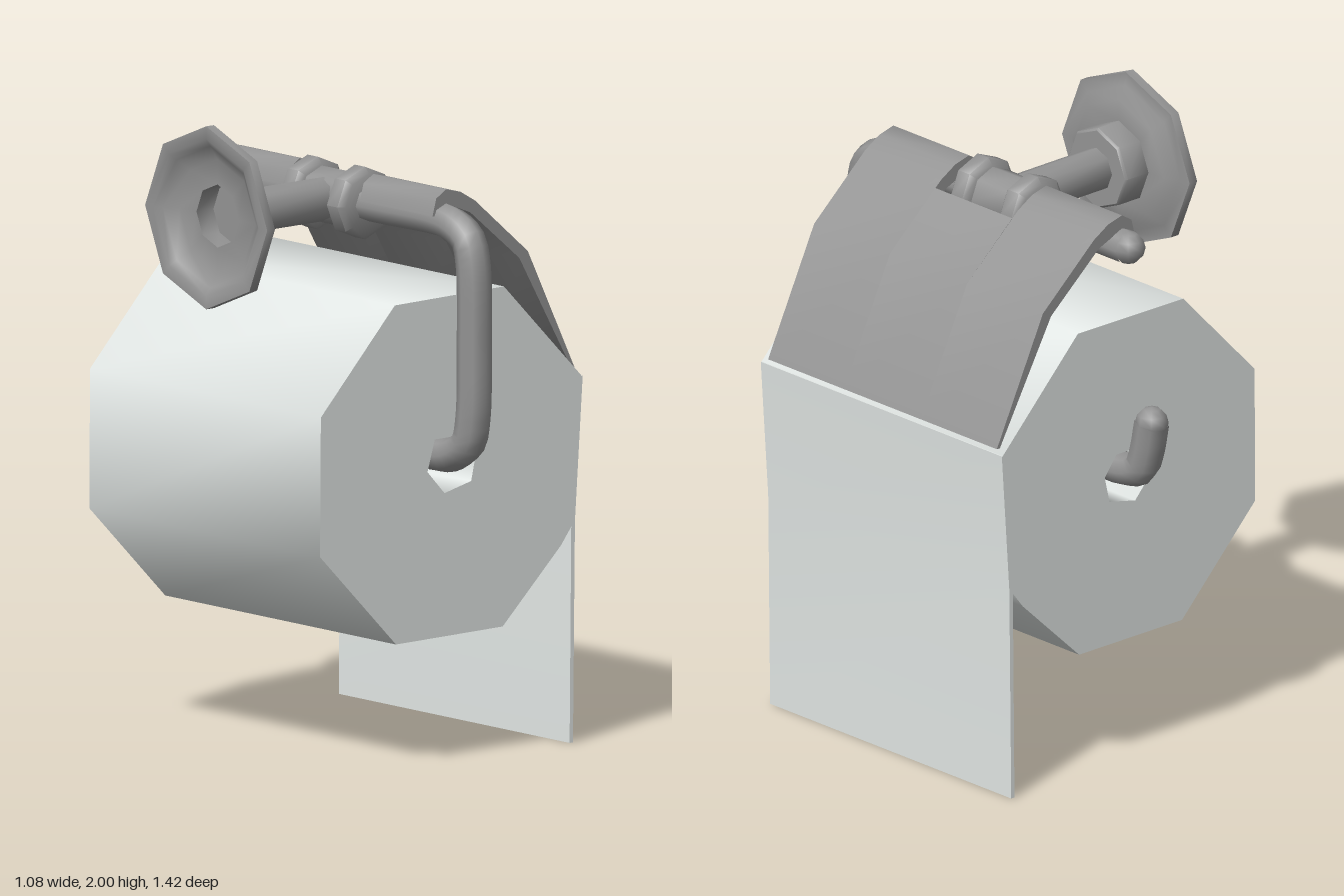
import * as THREE from 'three';
import { toCreasedNormals } from 'three/addons/utils/BufferGeometryUtils.js';

const metal = new THREE.MeshStandardMaterial({ color: 0x949494 });
metal.name = 'brushed metal';
const paper = new THREE.MeshStandardMaterial({ color: 0xe2e7e5 });
paper.name = 'paper';

const BAR_Y = 1.712;
const toPoints = (list) => list.map(([x, y]) => new THREE.Vector2(x, y));

export function createModel() {
  const model = new THREE.Group();
  model.name = 'paperRollHolder';

  const add = (name, geometry, material, parent = model) => {
    const mesh = new THREE.Mesh(geometry, material);
    mesh.name = name;
    parent.add(mesh);
    return mesh;
  };

  // Extrude an x-y outline between two z positions, smooth around and sharp at the ends
  const slab = (outline, z0, z1, hole) => {
    const shape = new THREE.Shape(toPoints(outline));
    if (hole) shape.holes.push(new THREE.Path(toPoints(hole)));
    const g = new THREE.ExtrudeGeometry(shape, { depth: z1 - z0, bevelEnabled: false });
    g.translate(0, 0, z0);
    return toCreasedNormals(g, 1.12);
  };

  // Eight-sided turned part; profile is [radius, height]
  const turned = (profile) =>
    toCreasedNormals(new THREE.LatheGeometry(toPoints(profile), 8), 0.8);

  // Paper roll with open core
  add('paperRoll', slab(
    [[-0.235, 1.475], [-0.54, 1.157], [-0.543, 0.715], [-0.23, 0.4], [0.21, 0.403],
      [0.45, 0.63], [0.505, 0.7], [0.538, 1.155], [0.215, 1.48]],
    -0.548, 0.548,
    [[-0.1, 0.93], [-0.03, 0.855], [0.08, 0.88], [0.1, 0.965], [0.05, 1.03], [-0.07, 1.03]],
  ), paper);

  // Loose sheet hanging from the roll
  add('hangingSheet', slab(
    [[0.524, 1.157], [0.54, 1.157], [0.508, 0.7], [0.5, 0], [0.486, 0], [0.493, 0.7]],
    -0.548, 0.548), paper);

  // Curved cover, in two wings and a middle panel that leaves a notch at the bracket
  const cover = new THREE.Group();
  cover.name = 'cover';
  model.add(cover);
  const lowerOuter = [[0.535, 1.172], [0.338, 1.573]];
  const lowerInner = [[0.303, 1.555], [0.522, 1.172]];
  const wing = [...lowerOuter, [0.12, 1.76], [0.06, 1.795], [0.0, 1.81], [-0.04, 1.785],
    [-0.055, 1.73], [-0.035, 1.73], [0.0, 1.765], [0.1, 1.725], ...lowerInner];
  const panel = [...lowerOuter, [0.145, 1.74], [0.125, 1.707], ...lowerInner];
  add('coverFrontWing', slab(wing, 0.175, 0.52), metal, cover);
  add('coverBackWing', slab(wing, -0.52, -0.175), metal, cover);
  add('coverMiddle', slab(panel, -0.175, 0.175), metal, cover);

  // Bent bar: pivot on top, down the front, through the core, hooked up at the back
  const barPath = [[-0.55, BAR_Y], [-0.2, BAR_Y], [0.2, BAR_Y], [0.5, BAR_Y], [0.565, 1.70],
    [0.625, 1.665], [0.648, 1.6], [0.655, 1.33], [0.648, 1.1], [0.625, 1.02], [0.55, 0.975],
    [0.45, 0.967], [0, 0.965], [-0.45, 0.965], [-0.54, 0.967], [-0.605, 0.99],
    [-0.632, 1.05], [-0.655, 1.155]];
  const curve = new THREE.CatmullRomCurve3(
    barPath.map(([z, y]) => new THREE.Vector3(0, y, z)), false, 'centripetal');
  const bar = new THREE.Group();
  bar.name = 'bar';
  model.add(bar);
  add('bentBar', new THREE.TubeGeometry(curve, 110, 0.055, 8), metal, bar);
  for (const [z, y] of [barPath[0], barPath[barPath.length - 1]]) {
    add('barTip', new THREE.SphereGeometry(0.053, 8, 6), metal, bar).position.set(0, y, z);
  }

  // Hollow wall flange, stepped towards the arm
  const flange = turned([[0, -0.42], [0.1, -0.42], [0.1, -0.49], [0.18, -0.49], [0.225, -0.52],
    [0.25, -0.537], [0.29, -0.537], [0.29, -0.505], [0.245, -0.505], [0.205, -0.475],
    [0.135, -0.475], [0.135, -0.388], [0.128, -0.38], [0, -0.38]]);
  flange.rotateZ(-Math.PI / 2);
  add('wallFlange', flange, metal).position.y = BAR_Y;

  // Arm from flange to bracket
  const arm = turned([[0, -0.4], [0.07, -0.4], [0.07, 0.02], [0, 0.02]]);
  arm.rotateZ(-Math.PI / 2);
  add('arm', arm, metal).position.y = BAR_Y;

  // Hub on the bar with a chamfered collar at each side
  const hub = turned([[0, -0.08], [0.09, -0.08], [0.09, 0.08], [0, 0.08]]);
  hub.rotateX(Math.PI / 2);
  add('hub', hub, metal).position.y = BAR_Y;
  for (const side of [-1, 1]) {
    const collar = turned([[0, -0.043], [0.095, -0.043], [0.115, -0.025],
      [0.115, 0.025], [0.095, 0.043], [0, 0.043]]);
    collar.rotateX(Math.PI / 2);
    add(side > 0 ? 'frontCollar' : 'backCollar', collar, metal)
      .position.set(0, BAR_Y, side * 0.112);
  }

  return model;
}
